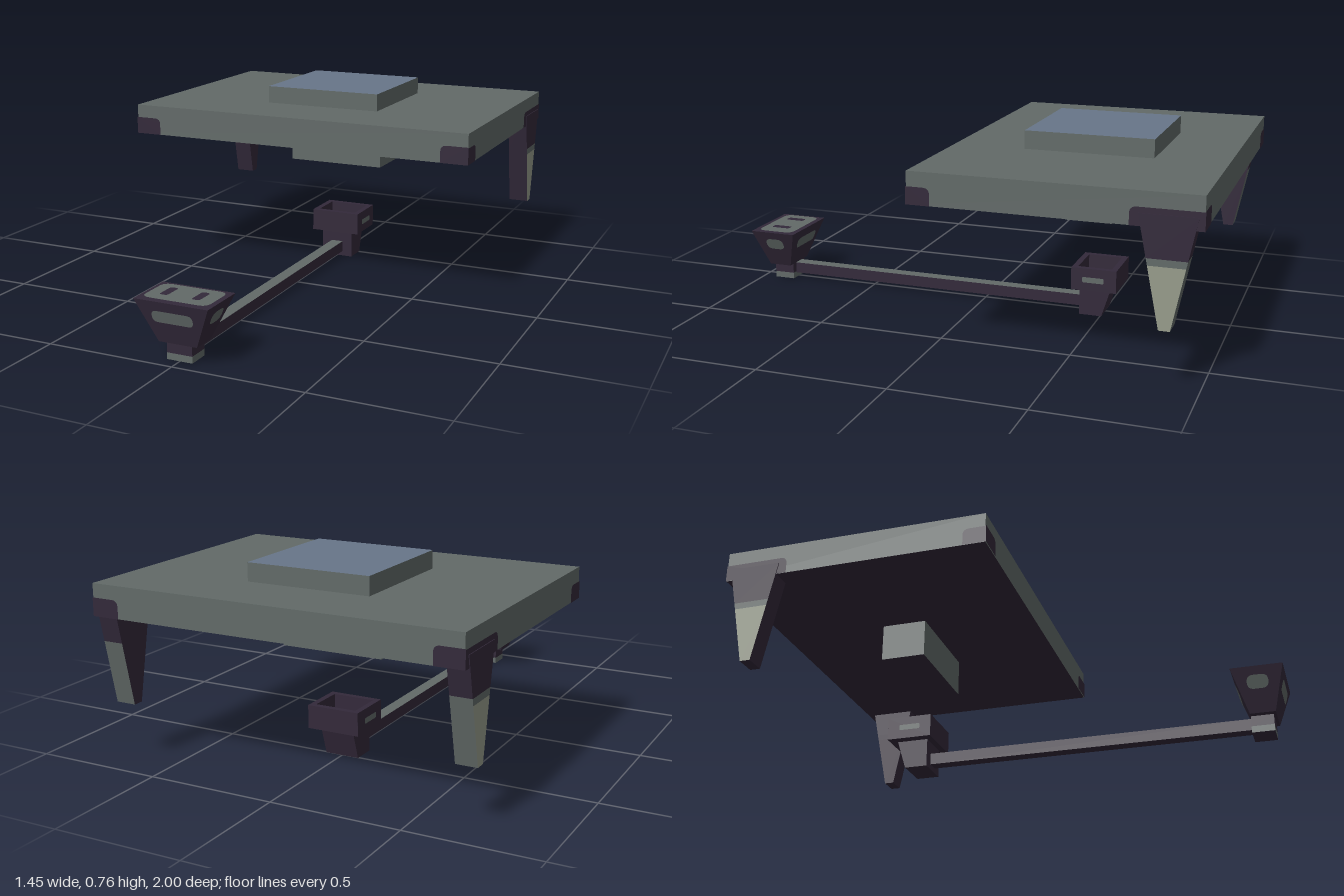
import * as THREE from 'three';

const mat = (name, color, side = THREE.FrontSide) => {
  const m = new THREE.MeshStandardMaterial({ color, side });
  m.name = name;
  return m;
};

// Box between two level rectangles [x0, x1, z0, z1, y]; mats is one material or six (+x -x +y -y +z -z)
function taper(name, bottom, top, mats) {
  const g = new THREE.BoxGeometry(1, 1, 1);
  const p = g.attributes.position;
  for (let i = 0; i < p.count; i++) {
    const r = p.getY(i) > 0 ? top : bottom;
    p.setXYZ(i, p.getX(i) < 0 ? r[0] : r[1], r[4], p.getZ(i) < 0 ? r[2] : r[3]);
  }
  g.computeVertexNormals();
  const m = new THREE.Mesh(g, mats);
  m.name = name;
  return m;
}

const block = (name, x0, x1, y0, y1, z0, z1, mats) =>
  taper(name, [x0, x1, z0, z1, y0], [x0, x1, z0, z1, y1], mats);

function roundRect(w, h, r) {
  const s = new THREE.Shape();
  const x = w / 2, y = h / 2;
  s.moveTo(-x + r, -y).lineTo(x - r, -y).quadraticCurveTo(x, -y, x, -y + r);
  s.lineTo(x, y - r).quadraticCurveTo(x, y, x - r, y);
  s.lineTo(-x + r, y).quadraticCurveTo(-x, y, -x, y - r);
  s.lineTo(-x, -y + r).quadraticCurveTo(-x, -y, -x + r, -y);
  return s;
}

// Patch starting at a corner, with its far top corner rounded; negative w runs the other way
function cornerPatch(w, h) {
  const s = new THREE.Shape();
  const c = Math.sign(w) * 0.025;
  s.moveTo(0, 0).lineTo(w, 0).lineTo(w, h - 0.025);
  s.quadraticCurveTo(w, h, w - c, h).lineTo(0, h).lineTo(0, 0);
  return s;
}

// Flat painted detail turned by yaw, then leaned by tilt
function plate(name, shape, material, pos, yaw = 0, tilt = 0) {
  const m = new THREE.Mesh(new THREE.ShapeGeometry(shape, 6), material);
  m.name = name;
  m.position.set(...pos);
  m.rotation.set(tilt, yaw, 0, 'YXZ');
  return m;
}

export function createModel() {
  const grey = mat('greenGrey', 0x626a68);
  const dark = mat('darkPurple', 0x33293a);
  const blue = mat('slateBlue', 0x687689);
  const pale = mat('paleSage', 0x979c8b);
  const model = new THREE.Group();
  const H = Math.PI / 2;

  // Table slab, raised pad and hanging block
  model.add(
    block('slab', -0.72, 0.72, 0.57, 0.69, -0.998, 0.037, [grey, grey, grey, dark, grey, grey]),
    block('topPad', -0.245, 0.245, 0.69, 0.76, -0.73, -0.24, [grey, grey, blue, grey, grey, grey]),
    block('hangingBlock', -0.205, 0.205, 0.42, 0.57, -0.57, -0.39, [grey, grey, grey, dark, grey, grey]),
  );

  for (const s of [1, -1]) {
    // Dark corner caps wrapped round the slab
    model.add(
      plate('frontCornerCap', cornerPatch(-s * 0.11, 0.068), dark, [s * 0.722, 0.57, 0.04]),
      plate('backCornerCap', cornerPatch(s * 0.11, 0.068), dark, [s * 0.722, 0.57, -1], Math.PI),
      plate('frontSideCap', cornerPatch(s * 0.09, 0.065), dark, [s * 0.722, 0.57, 0.04], s * H),
      plate('backSideCap', cornerPatch(-s * 0.25, 0.065), dark, [s * 0.722, 0.57, -1], s * H),
    );

    // Back leg, tapered front to back, in three colour bands
    const leg = new THREE.Group();
    leg.name = 'leg';
    const level = (y) => {
      const t = (y - 0.22) / 0.395;
      const x = [s * 0.645, s * 0.725].sort((a, b) => a - b);
      return [...x, -0.9 - t * 0.08, -0.86 + t * 0.08, y];
    };
    const sides = (outer, back) =>
      s > 0 ? [outer, dark, dark, dark, dark, back] : [dark, outer, dark, dark, dark, back];
    leg.add(
      taper('legTop', level(0.465), level(0.615), dark),
      taper('legBand', level(0.44), level(0.465), sides(grey, grey)),
      taper('legFoot', level(0.22), level(0.44), sides(pale, grey)),
    );
    model.add(leg);
  }

  // Floor bar joining the pod to the socket
  model.add(block('bar', -0.025, 0.025, 0.02, 0.065, -0.43, 0.87, [dark, dark, grey, dark, dark, dark]));

  // Front pod with flared sides
  const pod = new THREE.Group();
  pod.name = 'pod';
  const podSide = Math.atan(0.07 / 0.16);
  const podFront = Math.atan(0.045 / 0.16);
  const podBack = Math.atan(0.055 / 0.16);
  pod.add(
    block('podFoot', -0.05, 0.05, 0, 0.025, 0.86, 0.945, [grey, grey, grey, dark, grey, grey]),
    block('podNeck', -0.05, 0.05, 0.025, 0.065, 0.86, 0.945, dark),
    taper('podBody', [-0.075, 0.075, 0.86, 0.955, 0.065], [-0.145, 0.145, 0.805, 1, 0.225], dark),
    plate('podTopPanel', roundRect(0.256, 0.155, 0.035), grey, [0, 0.228, 0.9], 0, -H),
    plate('podFrontOval', roundRect(0.16, 0.046, 0.022), grey, [0, 0.168, 0.988], 0, podFront),
    plate('podBackOval', roundRect(0.16, 0.046, 0.022), grey, [0, 0.168, 0.8205], Math.PI, podBack),
  );
  for (const s of [1, -1]) {
    pod.add(
      plate('podSideOval', roundRect(0.08, 0.052, 0.026), grey, [s * 0.124, 0.17, 0.902], s * H, podSide),
      plate('podSlot', roundRect(0.032, 0.08, 0.012), dark, [s * 0.063, 0.231, 0.9], 0, -H),
    );
  }
  model.add(pod);

  // Rear socket: open tray on a sloping neck
  const socket = new THREE.Group();
  socket.name = 'socket';
  const rim = roundRect(0.21, 0.18, 0.0001);
  rim.holes.push(roundRect(0.165, 0.135, 0.0001));
  const wall = new THREE.ExtrudeGeometry(rim, { depth: 0.09, bevelEnabled: false, curveSegments: 1 });
  wall.rotateX(-H);
  const walls = new THREE.Mesh(wall, dark);
  walls.name = 'socketWalls';
  walls.position.set(0, 0.112, -0.48);
  socket.add(
    walls,
    block('socketFloor', -0.1, 0.1, 0.112, 0.135, -0.565, -0.395, dark),
    taper('socketNeck', [-0.068, 0.068, -0.505, -0.415, 0], [-0.068, 0.068, -0.54, -0.415, 0.112], dark),
  );
  for (const s of [1, -1]) {
    socket.add(plate('socketSlot', roundRect(0.085, 0.022, 0.005), grey, [s * 0.108, 0.157, -0.478], s * H));
  }
  model.add(socket);
  return model;
}
